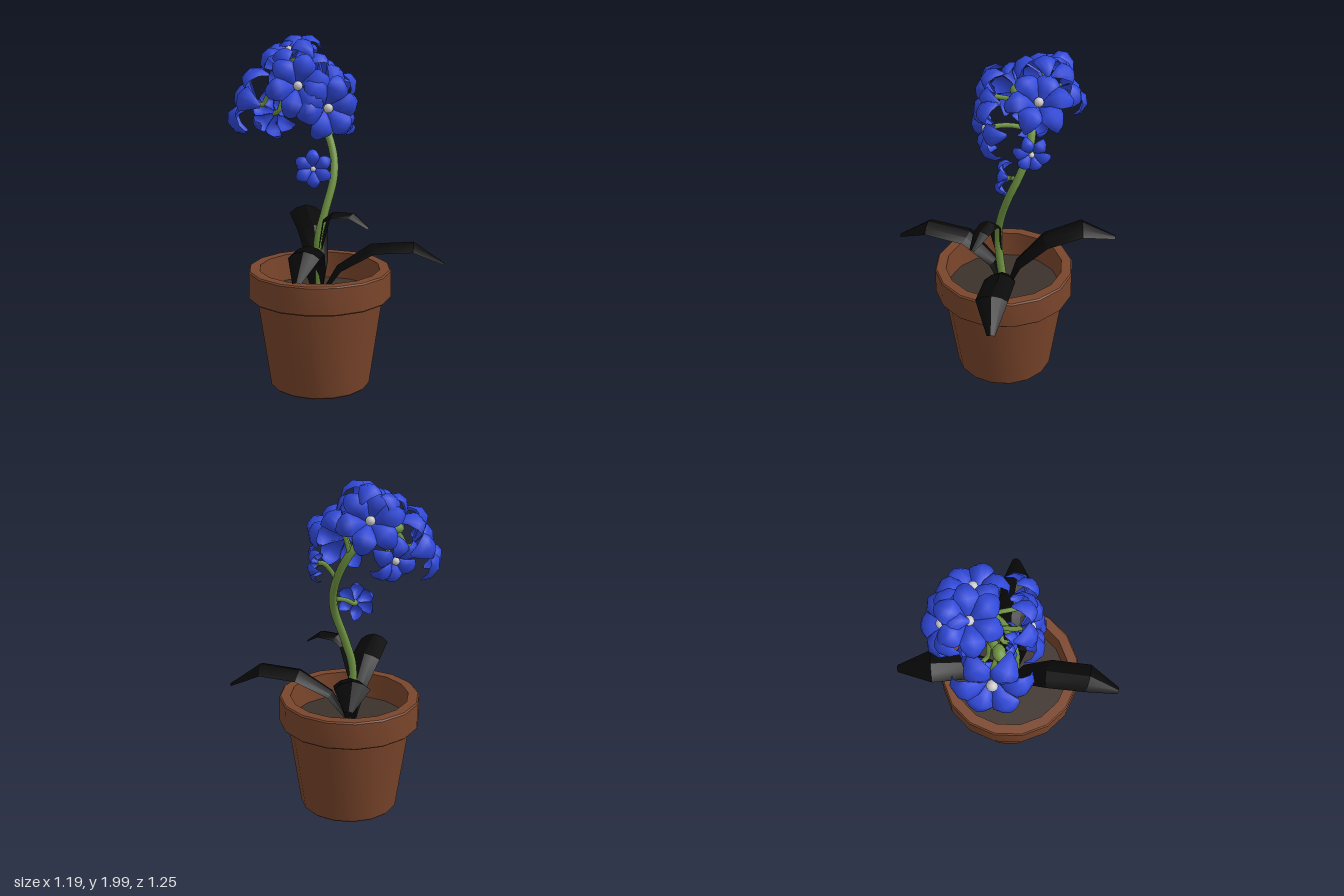
import * as THREE from 'three';
import { toCreasedNormals } from 'three/addons/utils/BufferGeometryUtils.js';

const V = (x, y, z) => new THREE.Vector3(x, y, z);
const mat = (color, side = THREE.FrontSide) => new THREE.MeshStandardMaterial({ color, side });

const clay = mat(0x7a452b);
const soilMat = mat(0x3d322c);
const green = mat(0x6f9442);
const leafMat = mat(0x080808, THREE.DoubleSide);
const blue = mat(0x3049da, THREE.DoubleSide);
const white = mat(0xdcdcdc);

function addMesh(parent, name, geometry, material) {
  const mesh = new THREE.Mesh(geometry, material);
  mesh.name = name;
  parent.add(mesh);
  return mesh;
}

// A blade swept along a path: five points per row, arched so the edges hang by droop
function blade(path, halfWidths, side, droop) {
  const pos = [], index = [];
  path.forEach((p, i) => {
    const a = path[Math.max(i - 1, 0)], b = path[Math.min(i + 1, path.length - 1)];
    const tangent = b.clone().sub(a).normalize();
    const up = side.clone().cross(tangent).normalize();
    for (const s of [-1, -0.6, 0, 0.6, 1]) {
      const q = p.clone().addScaledVector(side, s * halfWidths[i]);
      q.addScaledVector(up, -s * s * droop * halfWidths[i]);
      pos.push(q.x, q.y, q.z);
    }
    if (i === 0) return;
    for (let j = 0; j < 4; j++) {
      const k = (i - 1) * 5 + j;
      index.push(k, k + 1, k + 5, k + 1, k + 6, k + 5);
    }
  });
  const g = new THREE.BufferGeometry();
  g.setAttribute('position', new THREE.Float32BufferAttribute(pos, 3));
  g.setIndex(index);
  g.computeVertexNormals();
  return g;
}

// Petal: a domed oval that rises from the centre, then hooks backwards at the tip
const petalGeometry = blade(
  [V(0.012, -0.03, 0), V(0.055, 0.035, 0), V(0.108, 0.066, 0), V(0.16, 0.05, 0), V(0.192, -0.005, 0), V(0.185, -0.055, 0)],
  [0.014, 0.046, 0.068, 0.062, 0.038, 0.01], V(0, 0, 1), 0.5);

const pistilGeometry = new THREE.SphereGeometry(0.028, 10, 8);

function makeFlower(centre, facing, size, spin) {
  const flower = new THREE.Group();
  flower.name = 'flower';
  for (let i = 0; i < 6; i++) {
    const petal = addMesh(flower, 'petal', petalGeometry, blue);
    petal.rotation.y = i * Math.PI / 3 + spin;
    petal.position.y = (i % 2) * 0.012;
  }
  addMesh(flower, 'pistil', pistilGeometry, white).position.y = 0.015;
  flower.position.copy(centre);
  flower.quaternion.setFromUnitVectors(V(0, 1, 0), facing.clone().normalize());
  flower.scale.setScalar(size);
  return flower;
}

export function createModel() {
  const model = new THREE.Group();
  model.name = 'pottedFlower';

  // Pot with a thick rim, and the soil inside
  const profile = [[0, 0], [0.28, 0], [0.288, 0.008], [0.362, 0.525], [0.402, 0.525], [0.41, 0.533],
    [0.41, 0.682], [0.402, 0.69], [0.345, 0.69], [0.335, 0.5]].map(p => new THREE.Vector2(...p));
  const pot = addMesh(model, 'pot', toCreasedNormals(new THREE.LatheGeometry(profile, 16), 0.6), clay);
  pot.position.set(-0.097, 0, 0.028);
  const soil = addMesh(model, 'soil', new THREE.CircleGeometry(0.338, 16), soilMat);
  soil.rotation.x = -Math.PI / 2;
  soil.position.set(-0.097, 0.535, 0.028);

  // Main stem, bending over into the flower head, with a swollen end
  const stem = new THREE.CatmullRomCurve3([V(-0.1, 0.53, 0.03), V(-0.115, 0.85, 0.06), V(-0.07, 1.02, 0.05),
    V(-0.01, 1.2, 0.01), V(0.003, 1.32, -0.04), V(-0.025, 1.46, -0.1), V(-0.1, 1.6, -0.13),
    V(-0.22, 1.69, -0.11), V(-0.34, 1.7, -0.07)]);
  addMesh(model, 'stem', new THREE.TubeGeometry(stem, 36, 0.024, 8), green);
  const bud = addMesh(model, 'stemEnd', new THREE.SphereGeometry(0.036, 10, 8), green);
  bud.position.set(-0.33, 1.7, -0.073);
  bud.scale.x = 1.4;

  // Flowers: centre, facing, size, spin, and where the stalk leaves the stem (0 to 1)
  const flowers = [
    [V(-0.07, 1.61, 0.11), V(0.15, -0.05, 1), 0.97, 0.3, 0.78],
    [V(-0.23, 1.73, 0.09), V(-0.1, 0.25, 1), 0.95, 0.1, 0.88],
    [V(0, 1.77, -0.15), V(0.6, 0.85, 0.05), 0.98, 0.5, 0.78],
    [V(-0.21, 1.89, -0.2), V(-0.4, 1, 0.1), 0.95, 0, 0.88],
    [V(-0.17, 1.8, -0.32), V(0, 0.5, -1), 0.97, 0.2, 0.85],
    [V(-0.46, 1.64, -0.13), V(-1, 0.42, -0.17), 1.1, 0.4, 0.99],
    [V(-0.32, 1.55, -0.17), V(-0.45, -0.4, -0.8), 0.78, 0.1, 0.93],
    [V(0.1, 1.52, -0.1), V(1, -0.05, 0.15), 0.55, 0.2, 0.66],
    [V(-0.13, 1.26, 0.02), V(-0.3, 0.05, 0.95), 0.58, 0.25, 0.56],
  ];
  for (const [centre, facing, size, spin, t] of flowers) {
    model.add(makeFlower(centre, facing, size, spin));
    const start = stem.getPointAt(t);
    const back = centre.clone().addScaledVector(facing.clone().normalize(), -0.07 * size);
    const stalk = new THREE.CatmullRomCurve3([start, start.clone().lerp(back, 0.6).add(V(0, 0.01, 0)), back, centre]);
    addMesh(model, 'flowerStalk', new THREE.TubeGeometry(stalk, 10, 0.014, 6), green);
  }

  // Leaves: centre line from the soil to the tip, with half widths
  const leaves = [
    [[V(-0.09, 0.54, 0.03), V(0, 0.7, 0.05), V(0.19, 0.825, 0.085), V(0.42, 0.84, 0.16), V(0.6, 0.71, 0.185)],
      [0.025, 0.06, 0.088, 0.09, 0.022]],
    [[V(-0.1, 0.54, 0.01), V(-0.09, 0.71, -0.04), V(-0.08, 0.885, -0.2), V(-0.075, 0.96, -0.43), V(-0.04, 0.87, -0.625)],
      [0.025, 0.06, 0.09, 0.098, 0.022]],
    [[V(-0.11, 0.54, 0.03), V(-0.13, 0.71, 0.07), V(-0.2, 0.87, 0.22), V(-0.285, 0.905, 0.46), V(-0.36, 0.785, 0.625)],
      [0.025, 0.06, 0.088, 0.085, 0.022]],
    [[V(-0.11, 0.8, 0.055), V(-0.085, 0.98, 0.075), V(-0.04, 1.03, 0.12), V(0.06, 1.03, 0.18), V(0.135, 0.955, 0.24)],
      [0.025, 0.045, 0.055, 0.05, 0.016]],
  ];
  for (const [path, widths] of leaves) {
    const along = path[4].clone().sub(path[0]).setY(0).normalize();
    const side = along.clone().cross(V(0, 1, 0));
    addMesh(model, 'leaf', toCreasedNormals(blade(path, widths, side, 0.5), 0.5), leafMat);
  }

  return model;
}
